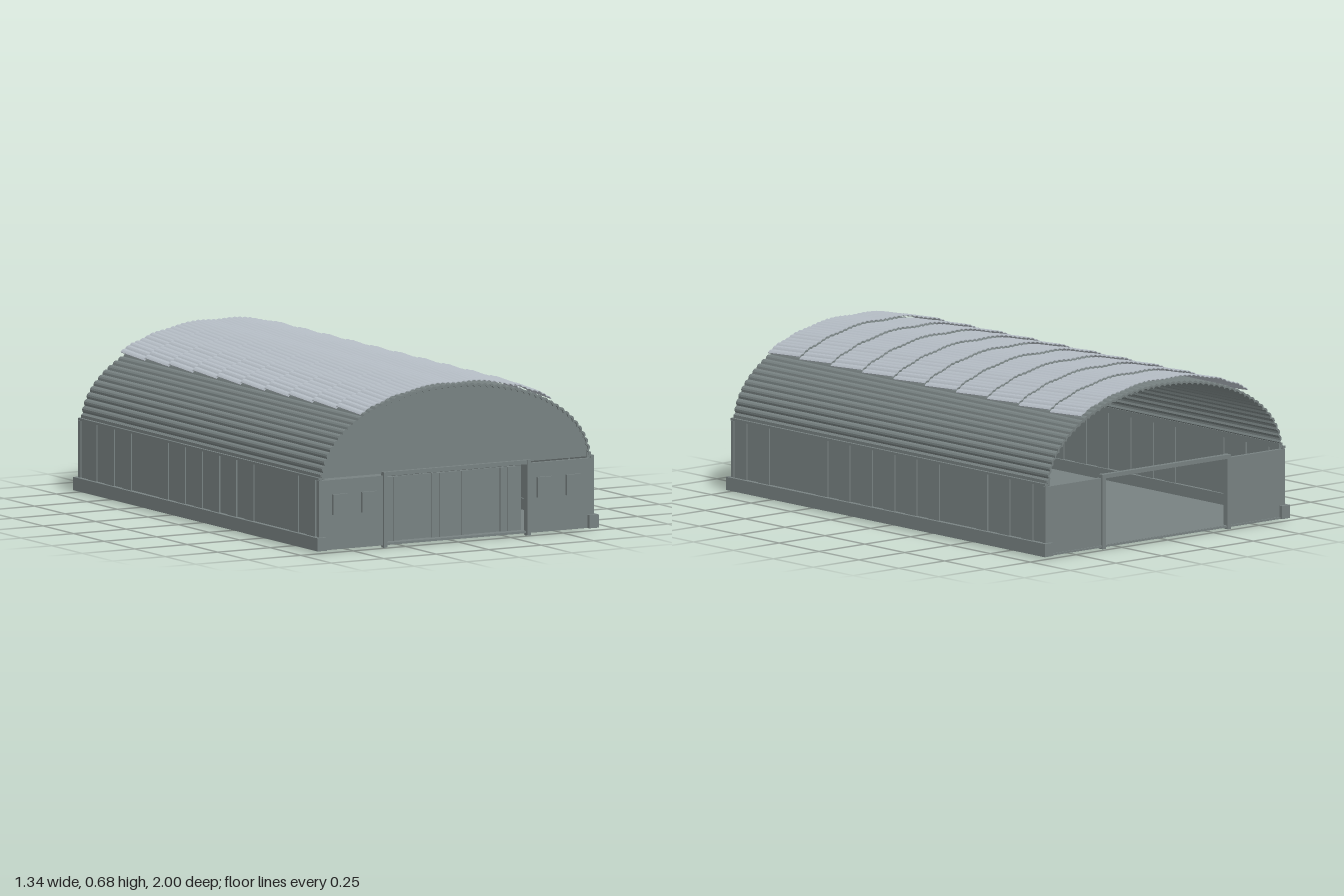
import * as THREE from 'three';

const mat = (name, color) => Object.assign(new THREE.MeshStandardMaterial({ color }), { name });

export function createModel() {
  const group = new THREE.Group();
  const steel = mat('greySteel', 0x788282);
  const roofSheet = mat('paleRoofSheet', 0xb6bec6);

  const add = (name, geo, material = steel) => {
    const m = new THREE.Mesh(geo, material);
    m.name = name;
    group.add(m);
    return m;
  };
  // Box given by its limits on each axis
  const box = (name, x0, x1, y0, y1, z0, z1) => {
    const m = add(name, new THREE.BoxGeometry(x1 - x0, y1 - y0, z1 - z0));
    m.position.set((x0 + x1) / 2, (y0 + y1) / 2, (z0 + z1) / 2);
    return m;
  };
  // The same box on the left and right
  const pair = (name, x0, x1, ...rest) => {
    box(name + 'Left', x0, x1, ...rest);
    box(name + 'Right', -x1, -x0, ...rest);
  };

  // Elliptical arch shared by the roof, the gable and the cover sheets
  const A = 0.638, B = 0.35, Y0 = 0.302;
  const arch = (n) => new THREE.EllipseCurve(0, Y0, A, B, 0, Math.PI).getSpacedPoints(n);
  const push = (p, d) => {
    const n = new THREE.Vector2(p.x / (A * A), (p.y - Y0) / (B * B)).normalize();
    return new THREE.Vector2(p.x + n.x * d, p.y + n.y * d);
  };
  // Thin curved plate: points pushed out by offset(p, i), extruded along z
  const plate = (pts, offset, thick, depth) => {
    const outer = pts.map((p, i) => push(p, offset(p, i)));
    const inner = pts.map((p, i) => push(p, offset(p, i) - thick)).reverse();
    const geo = new THREE.ExtrudeGeometry(new THREE.Shape([...outer, ...inner]), { depth, bevelEnabled: false });
    return geo.translate(0, 0, -depth / 2);
  };

  // Floor and side plinths
  box('floor', -0.655, 0.655, 0.01, 0.018, -0.99, 0.985);
  pair('plinth', 0.625, 0.67, 0.01, 0.065, -1, 1);

  // Side walls with raised boards inside and out
  pair('sideWall', 0.64, 0.65, 0.018, 0.302, -0.985, 0.985);
  pair('eavesBeam', 0.626, 0.645, 0.302, 0.325, -0.98, 0.98);
  pair('wallCapRail', 0.64, 0.656, 0.302, 0.312, -0.985, 0.985);
  const boards = [0.922, 0.78, 0.415, 0.275, 0.135, -0.005, -0.145, -0.285, -0.587, -0.727, -0.87];
  for (const z of boards) pair('wallBoard', 0.634, 0.656, 0.06, 0.302, z - 0.035, z + 0.035);

  // End walls and door frames, front and back
  for (const s of [1, -1]) {
    const end = s > 0 ? 'front' : 'back';
    const zr = (a, b) => (s > 0 ? [a, b] : [-b, -a]);
    pair(end + 'Wall', 0.345, 0.655, 0.01, 0.3, ...zr(0.968, 0.985));
    pair(end + 'DoorPost', 0.333, 0.35, 0.003, 0.315, ...zr(0.968, 0.995));
    box(end + 'Lintel', -0.35, 0.35, 0.298, 0.315, ...zr(0.972, 0.993));
    box(end + 'Sill', -0.333, 0.333, 0.01, 0.019, ...zr(0.96, 0.985));
  }
  pair('doorPostFoot', 0.333, 0.35, 0, 0.01, 0.972, 0.99);

  // Front windows
  for (const x of [0.3825, 0.5205]) {
    pair('windowFrame', x, x + 0.072, 0.155, 0.24, 0.985, 0.996);
  }

  // Sliding front door: overlapping leaves
  box('doorLeafBack', -0.333, 0.333, 0.018, 0.285, 0.925, 0.935);
  for (const [a, b] of [[-0.333, -0.24], [-0.09, 0.085], [0.235, 0.333]]) {
    box('doorLeafFront', a, b, 0.018, 0.285, 0.935, 0.942);
  }
  for (const x of [-0.275, -0.055, 0.05, 0.27]) {
    box('doorSeam', x - 0.002, x + 0.002, 0.018, 0.285, 0.942, 0.946);
  }

  // Front gable under the arch
  const gable = arch(64).map((p) => push(p, -0.004));
  gable.forEach((p) => { p.y = Math.max(p.y, 0.307); });
  add('frontGable', new THREE.ExtrudeGeometry(new THREE.Shape(gable), { depth: 0.01, bevelEnabled: false }))
    .position.z = 0.965;

  // Corrugated main roof, four steps to each wave
  const wave = [-0.003, 0.003, 0.005, 0.003];
  add('corrugatedRoof', plate(arch(208), (p, i) => wave[i % 4], 0.009, 1.965));

  // Ten tilted cover sheets over the crown
  const crown = arch(260).filter((p) => Math.abs(p.x) < 0.448);
  const bump = [-0.002, 0.001, 0.0025, 0.001];
  const cover = (p, i) => 0.021 + bump[i % 4] + 0.002 * Math.sin(p.x * p.x * 90)
    - 0.005 * Math.max(0, 1 - Math.abs(p.x) / 0.08);
  const coverGeo = plate(crown, cover, 0.003, 0.196);
  // Shear each sheet so its rear edge overlaps the next one
  const pos = coverGeo.attributes.position;
  for (let i = 0; i < pos.count; i++) pos.setY(i, pos.getY(i) - pos.getZ(i) * 0.055);
  coverGeo.computeVertexNormals();
  for (let k = 0; k < 10; k++) {
    add('roofCoverSheet', coverGeo, roofSheet).position.z = 0.882 - k * 0.196;
  }

  return group;
}
